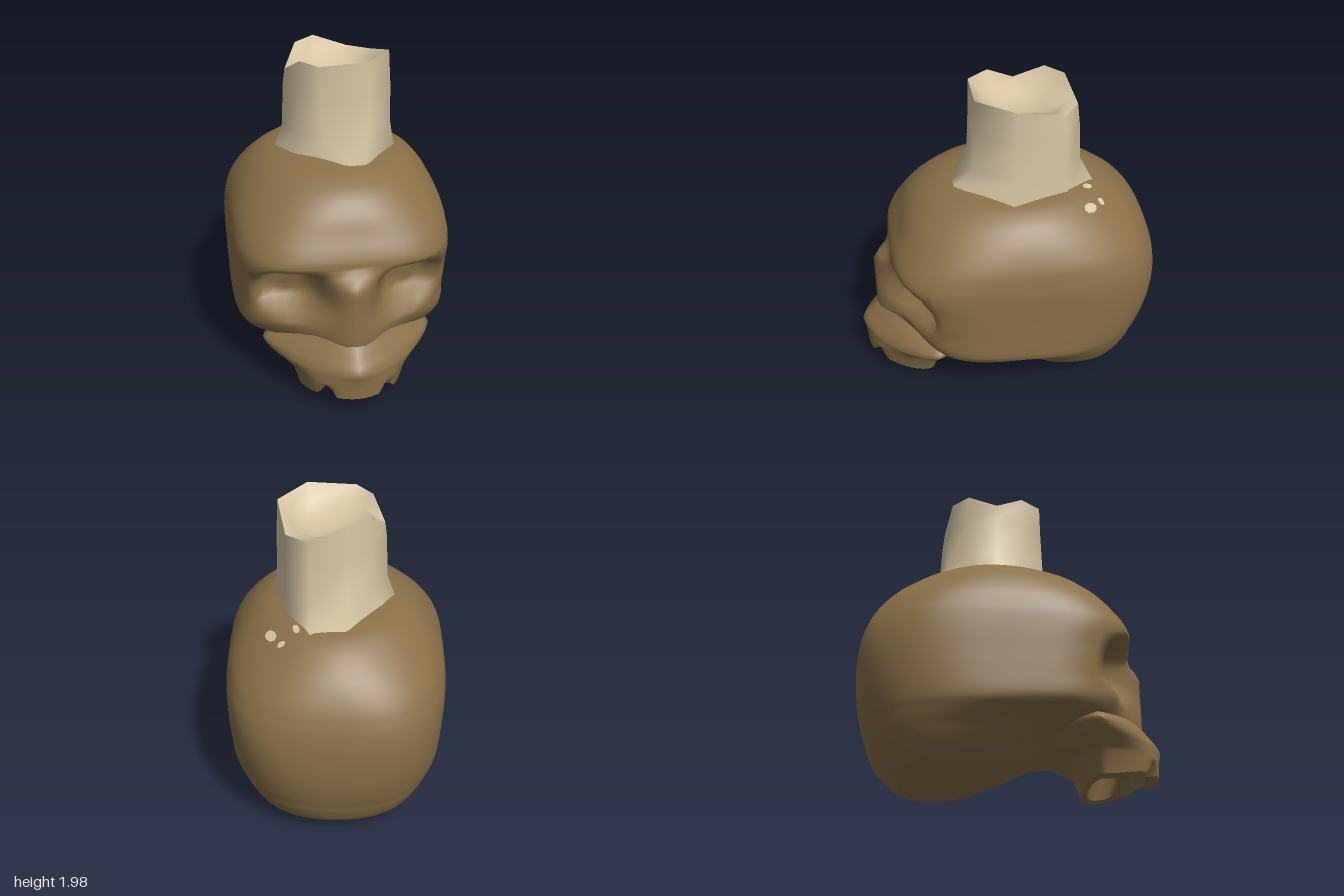
import * as THREE from 'three';
import { toCreasedNormals } from 'three/addons/utils/BufferGeometryUtils.js';

const smooth = (a, b, v) => {
  const t = Math.min(1, Math.max(0, (v - a) / (b - a)));
  return t * t * (3 - 2 * t);
};

// Skin closed rings of [x, y, z] points, listed bottom to top, with optional end points.
function skin(rings, bottom, top) {
  const n = rings[0].length, pos = rings.flat(2), index = [];
  for (let i = 0; i < rings.length - 1; i++) {
    for (let j = 0; j < n; j++) {
      const a = i * n + j, b = i * n + (j + 1) % n;
      index.push(a, b, b + n, a, b + n, a + n);
    }
  }
  const cap = (point, start, flip) => {
    if (!point) return;
    const c = pos.length / 3;
    pos.push(...point);
    for (let j = 0; j < n; j++) {
      const a = start + j, b = start + (j + 1) % n;
      index.push(...(flip ? [b, a, c] : [a, b, c]));
    }
  };
  cap(bottom, 0, true);
  cap(top, (rings.length - 1) * n, false);
  const g = new THREE.BufferGeometry();
  g.setAttribute('position', new THREE.Float32BufferAttribute(pos, 3));
  g.setIndex(index);
  g.computeVertexNormals();
  return g;
}

// Rounded-box ring: y, front z, back z, half width, widest z, front and back exponents.
function ring([y, front, back, half, mid, nf, nb], segments, shape) {
  return Array.from({ length: segments }, (_, j) => {
    const t = (j / segments) * Math.PI * 2, s = Math.sin(t), c = Math.cos(t);
    const n = c > 0 ? nf : nb;
    const r = 1 / Math.pow(Math.abs(s) ** n + Math.abs(c) ** n, 1 / n);
    const p = [half * r * s, y, mid + r * c * (c > 0 ? front - mid : mid - back)];
    return shape ? shape(p, c) : p;
  });
}

// Insert smoothly interpolated rows between the given ones.
function refine(rows, steps) {
  const out = [], last = rows.length - 1;
  for (let i = 0; i < last; i++) {
    const p = rows[Math.max(0, i - 1)], q = rows[Math.min(last, i + 2)];
    for (let k = 0; k < steps; k++) {
      const t = k / steps;
      out.push(rows[i].map((a, m) => {
        const b = rows[i + 1][m];
        if (m === 0) return a + (b - a) * t;
        const u = (b - p[m]) / 2, v = (q[m] - a) / 2;
        return a + u * t + (3 * (b - a) - 2 * u - v) * t * t + (2 * (a - b) + u + v) * t ** 3;
      }));
    }
  }
  out.push(rows[last]);
  return out;
}

// Eye sockets, nose ridge, and the hollows behind the cheekbones.
function carveFace([x, y, z], c) {
  const w = smooth(0.25, 0.6, c), ax = Math.abs(x);
  const dx = (ax - 0.36) / 0.21, dy = (y - 0.7) / 0.17;
  const r = Math.pow(Math.abs(dx) ** 3 + Math.abs(dy) ** 3, 1 / 3);
  let d = -0.22 * (1 - smooth(0.5, 1.12, r));
  d -= 0.05 * smooth(0.42, 0.56, ax) * smooth(0.9, 0.7, y) * smooth(0.42, 0.56, y);
  const bridge = Math.exp(-((x / (0.11 + 0.12 * smooth(0.7, 0.4, y))) ** 2));
  d += Math.max(0, 0.85 - z) * bridge * smooth(0.89, 0.78, y) * smooth(0.3, 0.38, y);
  const hollow = 1 - 0.22 * smooth(-0.25, 0.1, z) * smooth(0.36, 0.3, y);
  return [x * hollow, y, z + d * w];
}

function craniumGeometry() {
  const rows = [
    [0.01, -0.34, -0.66, 0.24, -0.5, 2.2, 2.2],
    [0.06, -0.15, -0.73, 0.4, -0.47, 2.2, 2.2],
    [0.14, 0.06, -0.81, 0.5, -0.42, 2.2, 2.2],
    [0.24, 0.26, -0.86, 0.57, -0.36, 2.3, 2.3],
    [0.3, 0.44, -0.88, 0.62, -0.25, 2.8, 2.4],
    [0.37, 0.58, -0.905, 0.67, -0.12, 3.6, 2.5],
    [0.5, 0.65, -0.935, 0.68, -0.1, 3.8, 2.7],
    [0.65, 0.71, -0.95, 0.685, -0.1, 3.8, 2.9],
    [0.78, 0.735, -0.95, 0.69, -0.1, 3.7, 2.95],
    [0.88, 0.745, -0.935, 0.69, -0.1, 3.55, 2.9],
    [0.95, 0.735, -0.915, 0.683, -0.1, 3.4, 2.8],
    [1.06, 0.68, -0.87, 0.66, -0.1, 3, 2.55],
    [1.18, 0.62, -0.79, 0.6, -0.1, 2.5, 2.2],
    [1.28, 0.53, -0.68, 0.52, -0.1, 2.2, 1.95],
    [1.35, 0.39, -0.55, 0.41, -0.1, 2.1, 1.9],
    [1.39, 0.18, -0.25, 0.2, -0.05, 2, 2],
  ];
  const rings = refine(rows, 3).map((row) => ring(row, 72, carveFace));
  return skin(rings, [0, 0, -0.5], [0, 1.4, -0.03]);
}

// Upper jaw, flaring up into the cheekbones
function upperJawGeometry() {
  const rows = [
    [0.18, 0.935, 0.4, 0.36, 0.56, 1.9, 2.2],
    [0.23, 0.945, 0.24, 0.42, 0.55, 1.6, 1.7],
    [0.28, 0.955, 0.12, 0.5, 0.52, 1.35, 1.4],
    [0.34, 0.915, 0.05, 0.52, 0.48, 1.3, 1.3],
    [0.43, 0.84, 0.2, 0.38, 0.45, 1.4, 1.3],
    [0.56, 0.76, 0.4, 0.2, 0.45, 1.5, 1.4],
  ];
  // Ragged tooth edge with a gap each side of the front teeth
  const edge = ([x, y, z], c) => {
    const gap = c > 0 ? Math.max(0, 1 - Math.abs(Math.abs(x) - 0.18) / 0.05) : 0;
    return [x, y - 0.005 + 0.055 * smooth(0.55, 0.9, z) + 0.09 * gap, z];
  };
  const rings = [
    ring([0.18, 0.8, 0.52, 0.2, 0.6, 2, 2], 60),
    ring([0.05, 0.85, 0.5, 0.24, 0.58, 2, 2.4], 60, edge),
    ring([0.05, 0.93, 0.47, 0.32, 0.56, 2, 2.4], 60, edge),
    ...refine(rows, 4).map((row) => ring(row, 60)),
  ];
  return toCreasedNormals(skin(rings, [0, 0.19, 0.62], [0, 0.57, 0.6]), 1);
}

// Candle outline points: front, round by the left side, and back.
const rim = [[-0.12, 1.96, 0.2], [0.18, 1.975, 0.2], [0.35, 1.97, -0.03], [0.29, 1.89, -0.32],
  [0.15, 1.89, -0.42], [-0.07, 1.98, -0.38], [-0.2, 1.97, -0.28], [-0.29, 1.86, -0.1], [-0.22, 1.96, 0.07]];
const foot = [[0.05, 0.33], [0.14, 0.33], [0.39, 0], [0.28, -0.35], [0.15, -0.54],
  [-0.06, -0.53], [-0.3, -0.22], [-0.37, -0.1], [-0.28, 0.07]];

function candleWallGeometry() {
  const blend = (y, k, swell) => rim.map(([x, , z], i) => [
    0.02 + (x + (foot[i][0] - x) * k - 0.02) * swell, y,
    -0.1 + (z + (foot[i][1] - z) * k + 0.1) * (z > 0 ? 1 : swell)]);
  const base = foot.map(([x, z]) => [x, z > 0.2 ? 1.37 : 1.33, z]);
  return skin([base, blend(1.5, 0.15, 1.03), blend(1.76, 0.04, 1.03), rim]);
}

function candleDishGeometry() {
  const inset = (k, y) => rim.map(([x, , z]) => [0.03 + (x - 0.03) * k, y, -0.1 + (z + 0.1) * k]);
  return skin([rim, inset(0.78, 1.89), inset(0.5, 1.83)], null, [0.03, 1.81, -0.1]);
}

export function createModel() {
  const bone = new THREE.MeshStandardMaterial({ color: 0x8b7049 });
  bone.name = 'agedBone';
  const wax = new THREE.MeshStandardMaterial({ color: 0xd6c5a4 });
  wax.name = 'candleWax';

  const model = new THREE.Group();
  model.name = 'skullCandle';
  const add = (name, geometry, material) => {
    const mesh = new THREE.Mesh(geometry, material);
    mesh.name = name;
    model.add(mesh);
    return mesh;
  };

  const cranium = add('cranium', craniumGeometry(), bone);
  add('upperJaw', upperJawGeometry(), bone);
  add('candleWall', candleWallGeometry(), wax);
  add('candleDish', candleDishGeometry(), wax);

  // Wax drips laid flat on the crown
  const down = new THREE.Vector3(0, -1, 0);
  [[0.23, -0.48, 0.02, 0.035], [0.315, -0.55, 0.027, 0.02], [0.38, -0.47, 0.034, 0.048]].forEach(([x, z, rx, rz], i) => {
    const hit = new THREE.Raycaster(new THREE.Vector3(x, 3, z), down).intersectObject(cranium)[0];
    if (!hit) return;
    const g = new THREE.CircleGeometry(1, 8).scale(rx, rz, 1);
    const drip = add('waxDrip' + (i + 1), g, wax);
    drip.position.copy(hit.point).addScaledVector(hit.face.normal, 0.008);
    drip.quaternion.setFromUnitVectors(new THREE.Vector3(0, 0, 1), hit.face.normal);
  });
  return model;
}
